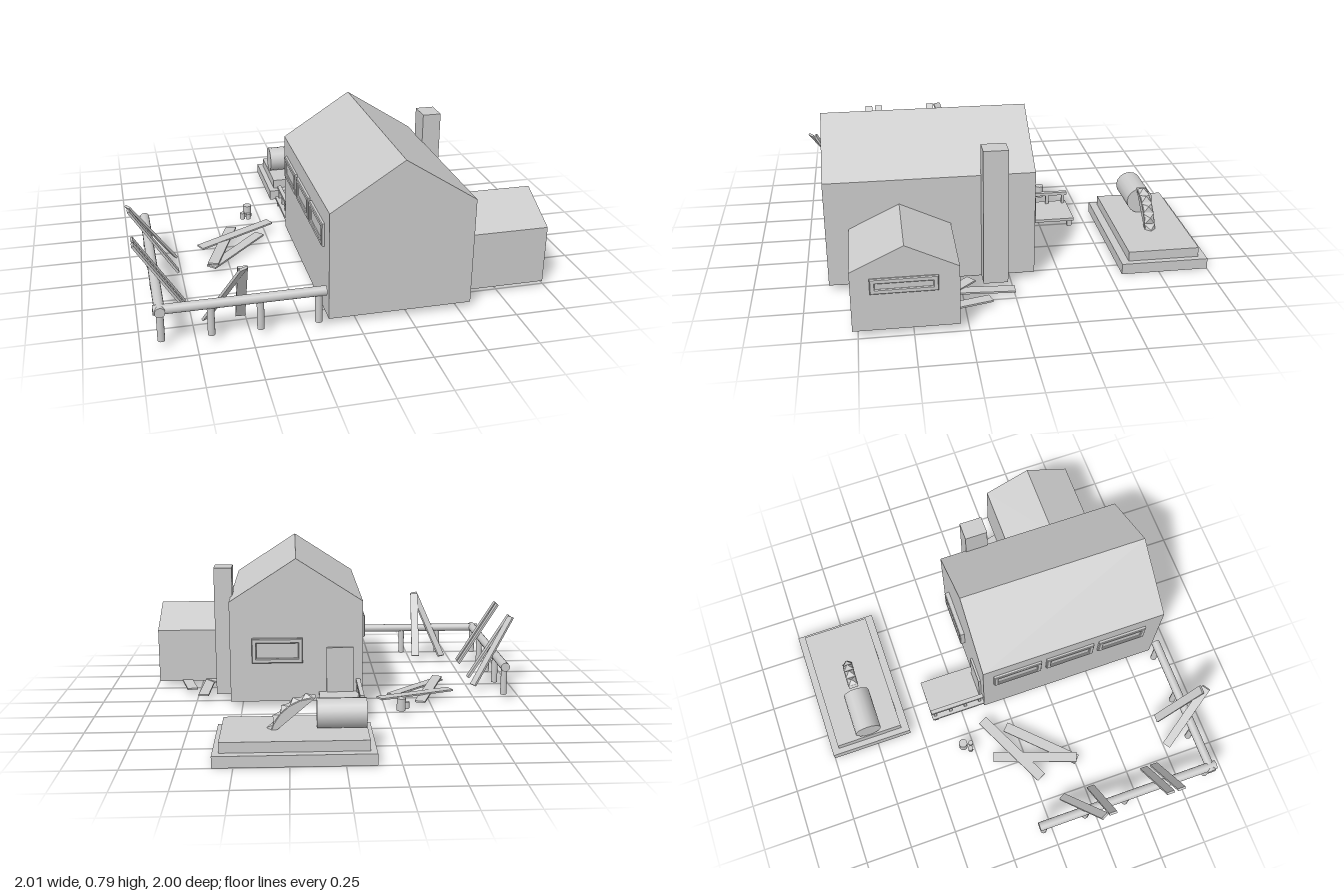
import * as THREE from 'three';

const mat = new THREE.MeshStandardMaterial({ color: 0xcccccc, side: THREE.DoubleSide, flatShading: true });
const smooth = new THREE.MeshStandardMaterial({ color: 0xcccccc });
const V = (x, y, z) => new THREE.Vector3(x, y, z);

function add(parent, name, geometry, x = 0, y = 0, z = 0, material = mat) {
  const mesh = new THREE.Mesh(geometry, material);
  mesh.name = name;
  mesh.position.set(x, y, z);
  parent.add(mesh);
  return mesh;
}

// Removes the faces lying on the lowest level, leaving a shell open below
function openBottom(geometry) {
  const g = geometry.index ? geometry.toNonIndexed() : geometry;
  g.computeBoundingBox();
  const low = g.boundingBox.min.y + 1e-4, p = g.attributes.position, kept = [];
  for (let i = 0; i < p.count; i += 3) {
    if ([0, 1, 2].every(k => p.getY(i + k) < low)) continue;
    for (let k = 0; k < 3; k++) kept.push(p.getX(i + k), p.getY(i + k), p.getZ(i + k));
  }
  const out = new THREE.BufferGeometry();
  out.setAttribute('position', new THREE.Float32BufferAttribute(kept, 3));
  out.computeVertexNormals();
  return out;
}

// Gabled shell, width across x, length along +z
function gable(width, eaves, ridge, length) {
  const w = width / 2;
  const shape = new THREE.Shape([[-w, 0], [w, 0], [w, eaves], [0, ridge], [-w, eaves]]
    .map(([x, y]) => new THREE.Vector2(x, y)));
  return openBottom(new THREE.ExtrudeGeometry(shape, { depth: length, bevelEnabled: false }));
}

// Box given by its limits
function box(parent, name, x0, x1, y0, y1, z0, z1, open = false) {
  const g = new THREE.BoxGeometry(x1 - x0, y1 - y0, z1 - z0);
  return add(parent, name, open ? openBottom(g) : g, (x0 + x1) / 2, (y0 + y1) / 2, (z0 + z1) / 2);
}

// Flat board running from a to b
function plank(parent, name, a, b, width, thick = 0.012) {
  const dir = b.clone().sub(a);
  const mesh = add(parent, name, new THREE.BoxGeometry(width, thick, dir.length()));
  dir.normalize();
  const side = V(0, 1, 0).cross(dir).normalize();
  mesh.quaternion.setFromRotationMatrix(new THREE.Matrix4().makeBasis(side, dir.clone().cross(side), dir));
  mesh.position.copy(a).add(b).multiplyScalar(0.5);
}

// Round bar from a to b
function bar(parent, name, a, b, r) {
  const dir = b.clone().sub(a);
  const mesh = add(parent, name, new THREE.CylinderGeometry(r, r, dir.length(), 16), 0, 0, 0, smooth);
  mesh.quaternion.setFromUnitVectors(V(0, 1, 0), dir.normalize());
  mesh.position.copy(a).add(b).multiplyScalar(0.5);
}

function rectangle(PathType, w, h) {
  return new PathType([[-w, -h], [w, -h], [w, h], [-w, h]].map(([x, y]) => new THREE.Vector2(x / 2, y / 2)));
}

// Framed window facing +z before turning
function windowUnit(parent, name, w, h, depth, position, turn) {
  const unit = new THREE.Group();
  unit.name = name;
  const bevel = 0.004, rim = 0.02;
  const shape = rectangle(THREE.Shape, w - 2 * bevel, h - 2 * bevel);
  shape.holes.push(rectangle(THREE.Path, w - 2 * rim, h - 2 * rim));
  add(unit, 'windowFrame', new THREE.ExtrudeGeometry(shape,
    { depth: depth - bevel, bevelThickness: bevel, bevelSize: bevel, bevelSegments: 1 }));
  add(unit, 'windowPane', new THREE.BoxGeometry(w - 2 * rim, h - 2 * rim, 0.006), 0, 0, 0.003);
  unit.position.copy(position);
  unit.rotation.y = turn;
  parent.add(unit);
}

function buildHouse(root) {
  const house = new THREE.Group();
  house.name = 'house';
  root.add(house);
  add(house, 'mainHall', gable(0.695, 0.535, 0.76, 1.005), 0.2125, 0.03, -0.12);
  add(house, 'annex', gable(0.485, 0.295, 0.412, 0.425), 0.56, 0.03, 0.5325).rotation.y = Math.PI / 2;
  box(house, 'chimney', 0.55, 0.645, 0.03, 0.72, 0.023, 0.143, true);
  box(house, 'door', -0.085, 0.055, 0.08, 0.32, -0.132, -0.118);
  for (const z of [0.07, 0.365, 0.66])
    windowUnit(house, 'sideWindow', 0.265, 0.115, 0.015, V(-0.135, 0.417, z), -Math.PI / 2);
  windowUnit(house, 'backWindow', 0.265, 0.13, 0.026, V(0.313, 0.308, -0.12), Math.PI);
  windowUnit(house, 'annexWindow', 0.305, 0.075, 0.011, V(0.985, 0.253, 0.537), Math.PI / 2);
}

function buildPorch(root) {
  const porch = new THREE.Group();
  porch.name = 'porch';
  root.add(porch);
  box(porch, 'porchFloor', -0.135, 0.095, 0.065, 0.08, -0.42, -0.12);
  box(porch, 'porchHandrail', -0.122, -0.1, 0.13, 0.147, -0.42, -0.12);
  for (const z of [-0.14, -0.225, -0.31, -0.4])
    box(porch, 'porchBaluster', -0.119, -0.103, 0.08, 0.13, z - 0.008, z + 0.008);
  for (const x of [-0.115, 0.075]) box(porch, 'porchLeg', x - 0.012, x + 0.012, 0.03, 0.065, -0.41, -0.386);
}

function buildSaw(root) {
  const saw = new THREE.Group();
  saw.name = 'sawStation';
  root.add(saw);
  box(saw, 'lowerSlab', -0.14, 0.595, 0, 0.055, -1, -0.56, true);
  box(saw, 'upperSlab', -0.11, 0.565, 0.055, 0.105, -0.96, -0.6, true);
  bar(saw, 'motor', V(-0.105, 0.175, -0.775), V(0.125, 0.175, -0.775), 0.07);

  // Blade sector rising out of the slab, with pyramid teeth on its rim
  const cx = 0.13, cy = 0.04, r = 0.215, start = 0.22, step = 0.27;
  const sector = new THREE.Shape();
  sector.moveTo(0, 0.03);
  sector.absarc(0, 0, r, start - 0.06, Math.PI / 2, false);
  add(saw, 'sawBlade', new THREE.ExtrudeGeometry(sector, { depth: 0.05, bevelEnabled: false, curveSegments: 10 }),
    cx, cy, -0.8);
  for (let i = 0; i < 5; i++) {
    const a = start + 0.08 + i * step, d = r + 0.008;
    const tooth = new THREE.ConeGeometry(0.039, 0.024, 4).rotateY(Math.PI / 4).rotateZ(a - Math.PI / 2);
    add(saw, 'sawTooth', tooth, cx + d * Math.cos(a), cy + d * Math.sin(a), -0.775);
  }
}

function buildFence(root) {
  const fence = new THREE.Group();
  fence.name = 'fence';
  root.add(fence);
  bar(fence, 'sideRail', V(-0.905, 0.187, -0.08), V(-0.905, 0.187, 0.925), 0.024);
  bar(fence, 'frontRail', V(-0.935, 0.187, 0.892), V(-0.15, 0.187, 0.892), 0.023);
  for (const z of [-0.05, 0.19, 0.42, 0.65, 0.892])
    bar(fence, 'fencePost', V(-0.905, 0.03, z), V(-0.905, 0.187, z), 0.017);
  for (const x of [-0.68, -0.455, -0.185])
    bar(fence, 'fencePost', V(x, 0.03, 0.892), V(x, 0.187, 0.892), 0.017);

  // Boards leaning on the rails
  for (const [top, foot] of [[0.275, 0.275], [0.59, 0.59], [0.65, 0.65], [0.23, 0.11]])
    plank(fence, 'leaningPlank', V(-0.995, 0.395, top), V(-0.77, 0.035, foot), 0.042);
  plank(fence, 'leaningPlank', V(-0.54, 0.395, 0.985), V(-0.69, 0.035, 0.76), 0.045);
  plank(fence, 'leaningPlank', V(-0.54, 0.39, 0.96), V(-0.53, 0.035, 0.765), 0.045);
}

function buildDebris(root) {
  const debris = new THREE.Group();
  debris.name = 'scatteredTimber';
  root.add(debris);
  // x and z of both ends, width, end heights
  const boards = [
    [-0.63, 0.04, -0.22, -0.16, 0.055, 0.035, 0.05], [-0.6, 0.26, -0.295, -0.05, 0.055, 0.03, 0.035],
    [-0.59, 0.26, -0.435, -0.17, 0.055, 0.045, 0.03], [0.715, 0, 0.685, 0.56, 0.055, 0.03, 0.035],
    [0.785, 0.125, 0.89, 0.52, 0.055, 0.03, 0.035], [0.61, 0.2, 0.87, 0.5, 0.055, 0.04, 0.03],
  ];
  for (const [x0, z0, x1, z1, w, y0, y1] of boards)
    plank(debris, 'fallenPlank', V(x0, y0, z0), V(x1, y1, z1), w, 0.009);
  for (const [x, z, r, top] of [[-0.32, -0.307, 0.023, 0.095], [-0.352, -0.275, 0.014, 0.065], [-0.322, -0.265, 0.013, 0.06]])
    bar(debris, 'stump', V(x, 0.03, z), V(x, top, z), r);
}

export function createModel() {
  const root = new THREE.Group();
  root.name = 'sawmill';
  buildHouse(root);
  buildPorch(root);
  buildSaw(root);
  buildFence(root);
  buildDebris(root);
  return root;
}
